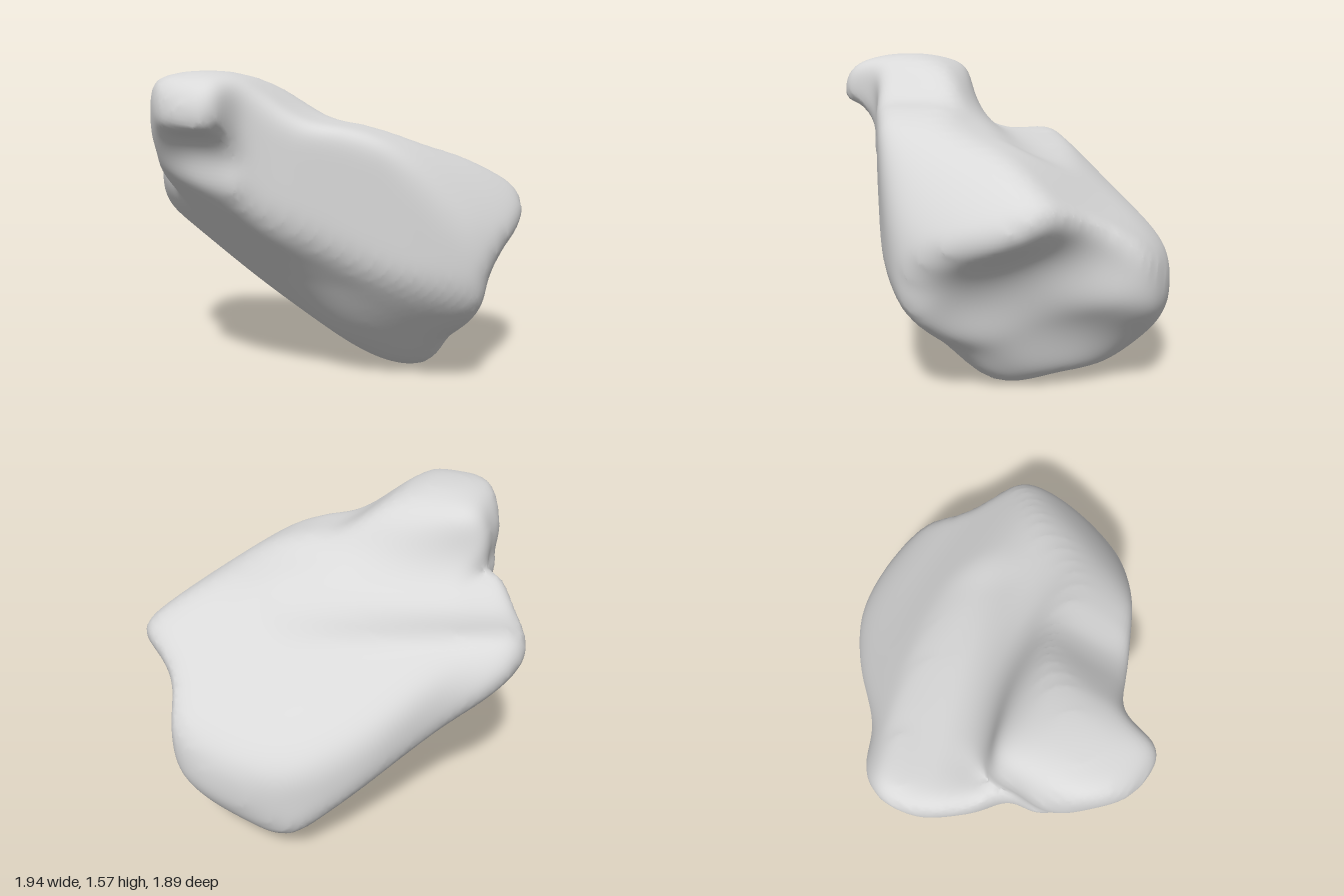
import * as THREE from 'three';

const V = (x, y, z) => new THREE.Vector3(x, y, z);
const MIDDLE = V(0, 0.795, 0);

// A smooth closed cross profile in the plane of two axes
function profile(u, v, list) {
  const points = [];
  for (let i = 0; i < list.length; i += 2) points.push(V(list[i], list[i + 1], 0));
  return { u, v, points: new THREE.CatmullRomCurve3(points, true).getPoints(84).slice(0, -1) };
}

// The bone is the smooth common part of three profiles
const profiles = [
  profile('x', 'y', [
    -1, 1, -0.92, 1.16, -0.73, 1.22, -0.635, 1.2, -0.67, 1.35, -0.56, 1.54, -0.37, 1.59, -0.2, 1.56, 0.1, 1.35,
    0.3, 1.31, 0.6, 1.2, 0.88, 1.03, 1, 0.8, 0.89, 0.6, 0.9, 0.48, 0.82, 0.34, 0.65, 0.24, 0.53, 0.05,
    0.35, 0, 0.04, 0.08, -0.12, 0.1, -0.28, 0.2, -0.45, 0.39, -0.65, 0.56, -0.92, 0.78]),
  profile('z', 'y', [
    0.95, 1.4, 0.94, 1.335, 0.83, 1.31, 0.73, 1.17, 0.745, 1.05, 0.4, 0.57, 0.2, 0.24, 0, 0.05, -0.2, 0,
    -0.45, 0.08, -0.7, 0.09, -0.87, 0.23, -0.95, 0.49, -0.85, 0.75, -0.6, 0.92, -0.3, 1.12, 0.1, 1.27,
    0.32, 1.51, 0.6, 1.59, 0.86, 1.52]),
  profile('x', 'z', [
    -1, -0.02, -0.92, -0.21, -0.7, -0.33, -0.4, -0.68, -0.15, -0.87, 0.2, -0.95, 0.45, -0.88, 0.6, -0.7,
    0.8, -0.53, 0.97, -0.37, 0.97, -0.08, 0.87, 0.17, 0.7, 0.31, 0.15, 0.58, -0.13, 0.71, -0.18, 0.92,
    -0.28, 0.95, -0.45, 0.88, -0.66, 0.6, -0.65, 0.46, -0.8, 0.33]),
];

// Bevels running along a slanted direction; each edge is two points across it, measured from the middle
function bevelsAlong(direction, edges) {
  const right = V(0, 1, 0).cross(direction).normalize();
  const up = direction.clone().normalize().cross(right);
  return edges.map(([u1, v1, u2, v2]) => {
    const normal = right.clone().multiplyScalar(v2 - v1).addScaledVector(up, u1 - u2).normalize();
    const onEdge = MIDDLE.clone().addScaledVector(right, u1).addScaledVector(up, v1);
    const plane = new THREE.Plane().setFromNormalAndCoplanarPoint(normal, onEdge);
    return plane.distanceToPoint(MIDDLE) > 0 ? plane.negate() : plane;
  });
}

const bevels = [
  ...bevelsAlong(V(0.7, 0.5, 1), [
    [-0.77, 0.14, 0.01, -0.58],      // lower front
    [0.7, -0.5, 0.55, -0.74],        // lower back corner
  ]),
  ...bevelsAlong(V(-0.7, 0.7, -1), [
    [-0.84, -0.61, -0.52, -0.84],    // underside of the back knob
    [-0.37, -0.88, 0.73, -0.22],     // underside of the side knob
    [-0.95, 0.26, -0.52, 0.52],      // shoulder beside the hook
  ]),
  ...bevelsAlong(V(0.8, -0.7, -1), [
    [-0.72, 0.31, -0.54, 0.58],      // front of the upper knob
    [-0.25, 0.6, 0.49, 0.3],         // upper face
    [0.49, 0.3, 0.75, 0.08],         // ridge to the side knob
    [0.85, -0.13, 0.66, -0.32],      // end of the side knob
    [0.66, -0.33, 0.26, -0.48],      // underside
    [0.3, -0.48, -0.1, -0.54],       // bottom
    [-0.3, -0.5, -0.67, -0.19],      // front of the lower knob
  ]),
];

// Rounded hollows: start, end, radius
const hollows = [
  [V(0.58, -0.02, -1.06), V(1.43, 0.59, 0.16), 0.39],  // dip below the upper knob
  [V(1.0, 0.42, -0.25), V(0.85, 0.66, -0.75), 0.27],   // valley between the end knobs
  [V(-0.9, 1.43, 0.12), V(0.1, 1.4, -0.35), 0.3],      // shallow groove on the upper face
].map(([a, b, r]) => ({ line: new THREE.Line3(a, b), r }));

// Signed distance to a profile, negative inside
function profileDistance({ u, v, points }, p) {
  const x = p[u], y = p[v];
  let best = Infinity, inside = false;
  for (let i = 0, j = points.length - 1; i < points.length; j = i++) {
    const a = points[i], b = points[j];
    const ex = b.x - a.x, ey = b.y - a.y, px = x - a.x, py = y - a.y;
    const t = Math.min(1, Math.max(0, (px * ex + py * ey) / (ex * ex + ey * ey)));
    best = Math.min(best, (px - ex * t) ** 2 + (py - ey * t) ** 2);
    if ((a.y > y) !== (b.y > y) && x < a.x + (ex * (y - a.y)) / ey) inside = !inside;
  }
  return (inside ? -1 : 1) * Math.sqrt(best);
}

function smoothMax(a, b, k) {
  const h = Math.max(k - Math.abs(a - b), 0) / k;
  return Math.max(a, b) + h * h * k * 0.25;
}

const nearest = V(0, 0, 0);
function boneDistance(p) {
  let d = -1;
  for (const shape of profiles) d = smoothMax(d, profileDistance(shape, p), 0.07);
  for (const plane of bevels) d = smoothMax(d, plane.distanceToPoint(p), 0.09);
  d -= 0.016;
  for (const { line, r } of hollows) {
    line.closestPointToPoint(p, true, nearest);
    d = smoothMax(d, r - nearest.distanceTo(p), 0.1);
  }
  return d;
}

// Skin the distance field with one vertex per crossed cell
function skin(field, origin, size, step) {
  const [nx, ny, nz] = size, stride = [1, nx, nx * ny];
  const values = new Float32Array(nx * ny * nz), p = V(0, 0, 0);
  for (let k = 0, i = 0; k < nz; k++) for (let j = 0; j < ny; j++) for (let l = 0; l < nx; l++, i++) {
    values[i] = field(p.set(l, j, k).multiplyScalar(step).add(origin));
  }
  const cellVertex = new Map(), positions = [], index = [];
  for (let k = 0; k < nz - 1; k++) for (let j = 0; j < ny - 1; j++) for (let l = 0; l < nx - 1; l++) {
    const cell = l + j * nx + k * stride[2], sum = [0, 0, 0];
    let count = 0;
    for (let c = 0; c < 8; c++) for (let axis = 0; axis < 3; axis++) {
      if (c & (1 << axis)) continue;
      const o = [c & 1, (c >> 1) & 1, c >> 2], a = cell + o[0] + o[1] * nx + o[2] * stride[2];
      const va = values[a], vb = values[a + stride[axis]];
      if ((va < 0) === (vb < 0)) continue;
      o[axis] += va / (va - vb);
      for (let m = 0; m < 3; m++) sum[m] += o[m];
      count++;
    }
    if (!count) continue;
    cellVertex.set(cell, positions.length / 3);
    positions.push(origin.x + (l + sum[0] / count) * step, origin.y + (j + sum[1] / count) * step,
      origin.z + (k + sum[2] / count) * step);
  }
  for (const cell of cellVertex.keys()) for (let axis = 0; axis < 3; axis++) {
    const inA = values[cell] < 0, inB = values[cell + stride[axis]] < 0;
    if (inA === inB) continue;
    const b = stride[(axis + 1) % 3], c = stride[(axis + 2) % 3];
    const q = [cell, cell - b, cell - b - c, cell - c].map((n) => cellVertex.get(n));
    if (!inA) q.reverse();
    index.push(q[0], q[1], q[2], q[0], q[2], q[3]);
  }
  return { positions, index };
}

// Relax the skin by averaging each vertex with its neighbours
function relax(positions, index, rounds) {
  for (let round = 0; round < rounds; round++) {
    const sum = new Float32Array(positions.length), count = new Float32Array(positions.length / 3);
    for (let i = 0; i < index.length; i += 3) for (let e = 0; e < 3; e++) {
      const a = index[i + e], b = index[i + ((e + 1) % 3)];
      for (let m = 0; m < 3; m++) sum[a * 3 + m] += positions[b * 3 + m];
      count[a]++;
    }
    for (let i = 0; i < positions.length; i++) {
      positions[i] += 0.5 * (sum[i] / count[Math.floor(i / 3)] - positions[i]);
    }
  }
}

export function createModel() {
  const boneGrey = new THREE.MeshStandardMaterial({ color: 0xd9d9d9 });
  boneGrey.name = 'boneGrey';

  const { positions, index } = skin(boneDistance, V(-1.1, -0.1, -1.05), [80, 66, 76], 0.028);
  relax(positions, index, 8);
  const geometry = new THREE.BufferGeometry();
  geometry.setAttribute('position', new THREE.Float32BufferAttribute(positions, 3));
  geometry.setIndex(index);
  geometry.computeBoundingBox();
  geometry.translate(0, -geometry.boundingBox.min.y, 0);
  geometry.computeVertexNormals();

  const bone = new THREE.Mesh(geometry, boneGrey);
  bone.name = 'hookedBone';
  const group = new THREE.Group();
  group.name = 'wristBone';
  group.add(bone);
  return group;
}
